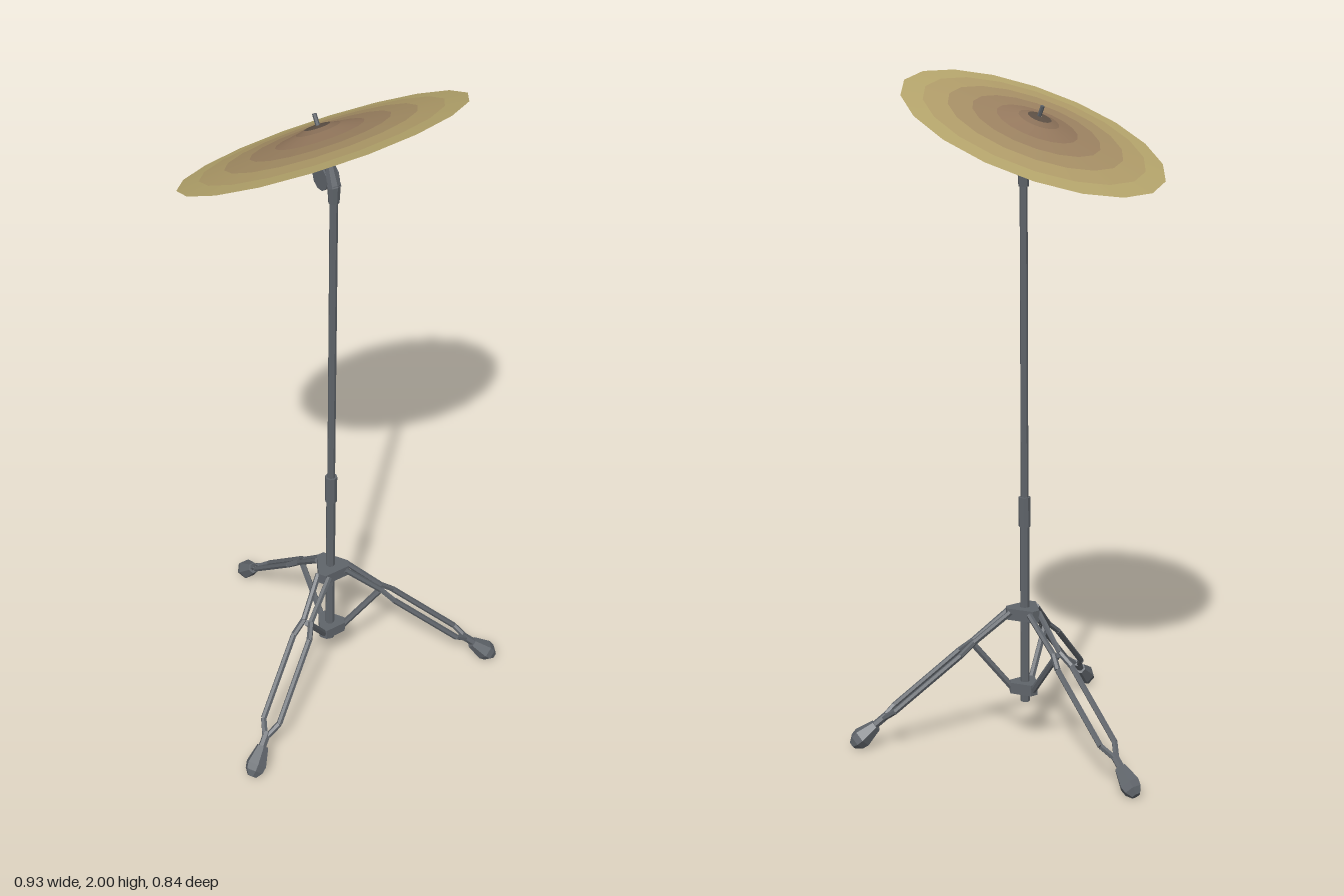
import * as THREE from 'three';

const metal = new THREE.MeshStandardMaterial({ color: 0x5f646a, flatShading: true });
const UP = new THREE.Vector3(0, 1, 0);
const V = (x, y, z) => new THREE.Vector3(x, y, z);

function add(parent, name, geometry, material = metal) {
  const mesh = new THREE.Mesh(geometry, material);
  mesh.name = name;
  parent.add(mesh);
  return mesh;
}

// straight bar from a to b
function bar(parent, name, a, b, r0, r1 = r0, sides = 6) {
  const dir = b.clone().sub(a);
  const mesh = add(parent, name, new THREE.CylinderGeometry(r1, r0, dir.length(), sides));
  mesh.position.copy(a).lerp(b, 0.5);
  mesh.quaternion.setFromUnitVectors(UP, dir.normalize());
  return mesh;
}

const LEG_ANGLES = [Math.PI / 2, -Math.PI / 6, (Math.PI * 7) / 6];

// three-cornered plate with a blunt end towards each leg
function hub(parent, name, reach, half, y, height) {
  const points = [];
  for (const angle of [Math.PI / 2, (Math.PI * 7) / 6, -Math.PI / 6]) {
    for (const s of [-half, half]) {
      points.push(new THREE.Vector2(
        reach * Math.cos(angle) - s * Math.sin(angle),
        reach * Math.sin(angle) + s * Math.cos(angle)));
    }
  }
  const geo = new THREE.ExtrudeGeometry(new THREE.Shape(points), { depth: height, bevelEnabled: false });
  geo.rotateX(-Math.PI / 2);
  add(parent, name, geo).position.y = y;
}

// leg running out along +x: two bowed bars, end bar, strut and rubber foot
function leg() {
  const g = new THREE.Group();
  g.name = 'leg';
  const at = (r, z = 0) => V(r, 0.415 - (r - 0.05) * 0.84, z);
  const bow = [[0.045, 0.018], [0.155, 0.012], [0.195, 0.026], [0.395, 0.026], [0.428, 0.005]];
  for (const side of [-1, 1]) {
    for (let i = 0; i < bow.length - 1; i++) {
      bar(g, 'legBar', at(bow[i][0], bow[i][1] * side), at(bow[i + 1][0], bow[i + 1][1] * side), 0.009);
    }
  }
  bar(g, 'legEnd', at(0.42), at(0.475), 0.012);
  bar(g, 'strut', V(0.04, 0.175, 0), at(0.16), 0.01);

  const profile = [[0, 0], [0.018, 0], [0.032, 0.055], [0.028, 0.075], [0.014, 0.093], [0, 0.093]]
    .map(([x, y]) => new THREE.Vector2(x, y));
  const foot = add(g, 'foot', new THREE.LatheGeometry(profile, 6));
  foot.position.copy(at(0.452)).y -= 0.004;
  foot.quaternion.setFromUnitVectors(UP, at(1).sub(at(0)).normalize());
  return g;
}

export function createModel() {
  const model = new THREE.Group();
  model.name = 'cymbalStand';

  const stand = new THREE.Group();
  stand.name = 'stand';
  stand.position.set(-0.004, 0, 0.11);
  model.add(stand);

  // pole
  bar(stand, 'lowerPole', V(0, 0.13, 0), V(0, 0.7, 0), 0.014, 0.014, 8);
  bar(stand, 'poleSleeve', V(0, 0.68, 0), V(0, 0.77, 0), 0.018, 0.018, 8);
  bar(stand, 'upperPole', V(0, 0.75, 0), V(0, 1.7, 0), 0.0115, 0.0115, 8);

  // tripod
  hub(stand, 'upperHub', 0.056, 0.012, 0.395, 0.035);
  hub(stand, 'lowerHub', 0.046, 0.012, 0.16, 0.034);
  for (const angle of LEG_ANGLES) {
    const l = leg();
    l.rotation.y = angle;
    stand.add(l);
  }

  // tilter and the rod that carries the cymbal
  bar(stand, 'tilterNeck', V(0, 1.68, 0), V(0, 1.735, 0), 0.015, 0.018, 8);
  bar(stand, 'tilterArm', V(0, 1.725, 0), V(-0.003, 1.81, -0.026), 0.02, 0.012, 8);
  bar(stand, 'tilterKnob', V(-0.02, 1.74, -0.036), V(0.02, 1.74, -0.036), 0.034, 0.034, 10);
  bar(stand, 'cymbalRod', V(-0.003, 1.79, -0.02), V(-0.012, 1.906, -0.074), 0.006);

  // cymbal: a shallow dish with a small bell, in bands that darken inwards
  const cymbal = new THREE.Group();
  cymbal.name = 'cymbal';
  cymbal.position.set(-0.011, 1.8375, 0.065);
  cymbal.quaternion.setFromUnitVectors(UP, V(-0.1, 1, -0.455).normalize());
  model.add(cymbal);
  const rings = [
    [0.392, 0, 0xb5a56c], [0.33, 0.005, 0xb09c69], [0.26, 0.011, 0xa68f65],
    [0.19, 0.016, 0x9c8261], [0.12, 0.021, 0x94785d], [0.06, 0.034, 0x8a7058],
    [0.035, 0.041, 0x5c4f44], [0.004, 0.044, 0x5c4f44]];
  for (let i = 0; i < rings.length - 1; i++) {
    const [r0, y0, color] = rings[i];
    const [r1, y1] = rings[i + 1];
    add(cymbal, i < 5 ? 'cymbalBow' : 'cymbalBell',
      new THREE.LatheGeometry([new THREE.Vector2(r0, y0), new THREE.Vector2(r1, y1)], 18, 0.097),
      new THREE.MeshStandardMaterial({ color, side: THREE.DoubleSide }));
  }
  return model;
}
